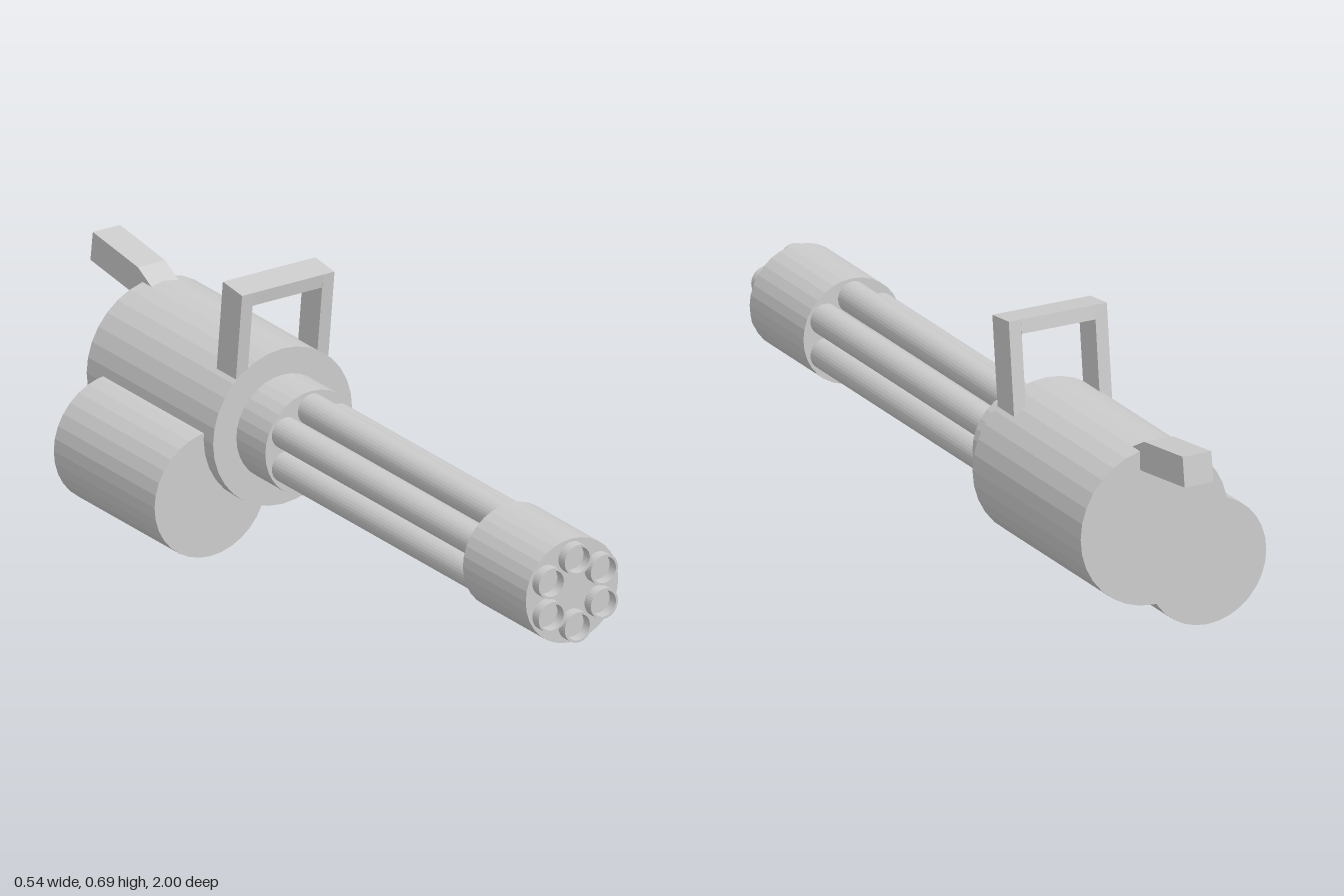
import * as THREE from 'three';

const material = new THREE.MeshStandardMaterial({ color: 0xcccccc, flatShading: true });
const AXIS_X = 0.07, AXIS_Y = 0.306, SIDES = 32;

function part(name, geometry) {
  const mesh = new THREE.Mesh(geometry, material);
  mesh.name = name;
  return mesh;
}

// Solid cylinder lying along z
function drum(name, x, y, radius, z0, z1) {
  const g = new THREE.CylinderGeometry(radius, radius, z1 - z0, SIDES);
  g.rotateX(Math.PI / 2).translate(x, y, (z0 + z1) / 2);
  return part(name, g);
}

// Side profile of [z, y] points, extruded across x
function sideProfile(name, points, x0, x1) {
  const shape = new THREE.Shape(points.map(([z, y]) => new THREE.Vector2(z, y)));
  const g = new THREE.ExtrudeGeometry(shape, { depth: x1 - x0, bevelEnabled: false });
  g.rotateY(-Math.PI / 2).translate(x1, 0, 0);
  return part(name, g);
}

export function createModel() {
  const model = new THREE.Group();
  model.name = 'rotaryGun';

  // Housing, ammunition drum and the two barrel clamps
  model.add(
    drum('housing', AXIS_X, AXIS_Y, 0.2, -0.78, -0.247),
    drum('ammoDrum', -0.11, 0.161, 0.161, -0.712, -0.287),
    drum('rearCollar', AXIS_X, AXIS_Y, 0.133, -0.26, -0.125),
    drum('muzzleClamp', AXIS_X, AXIS_Y, 0.133, 0.708, 0.973)
  );

  // Ring of six barrels with bored muzzles
  const barrels = new THREE.Group();
  barrels.name = 'barrels';
  const profile = [[0, -0.14], [0.039, -0.14], [0.039, 1], [0.033, 1], [0.033, 0.9], [0, 0.9]]
    .map(([r, z]) => new THREE.Vector2(r, z));
  const barrelGeometry = new THREE.LatheGeometry(profile, SIDES).rotateX(Math.PI / 2);
  for (let i = 0; i < 6; i++) {
    const a = Math.PI / 2 + i * Math.PI / 3;
    const barrel = part('barrel', barrelGeometry);
    barrel.position.set(AXIS_X + 0.0866 * Math.cos(a), AXIS_Y + 0.0866 * Math.sin(a), 0);
    barrels.add(barrel);
  }
  model.add(barrels);

  // Forward-leaning carry handle: two posts and a crossbar
  const handle = new THREE.Group();
  handle.name = 'carryHandle';
  const post = [[-0.249, 0.457], [-0.33, 0.457], [-0.304, 0.69], [-0.223, 0.681]];
  const bar = [[-0.228, 0.646], [-0.309, 0.655], [-0.304, 0.69], [-0.223, 0.681]];
  handle.add(
    sideProfile('handlePost', post, -0.063, -0.03),
    sideProfile('handlePost', post, 0.17, 0.203),
    sideProfile('handleBar', bar, -0.03, 0.17)
  );
  model.add(handle);

  // Rear grip, rising from the top of the housing
  const grip = [[-0.73, 0.495], [-0.785, 0.455], [-1, 0.483], [-0.99, 0.558], [-0.8, 0.533]];
  model.add(sideProfile('rearGrip', grip, 0.031, 0.109));

  return model;
}
